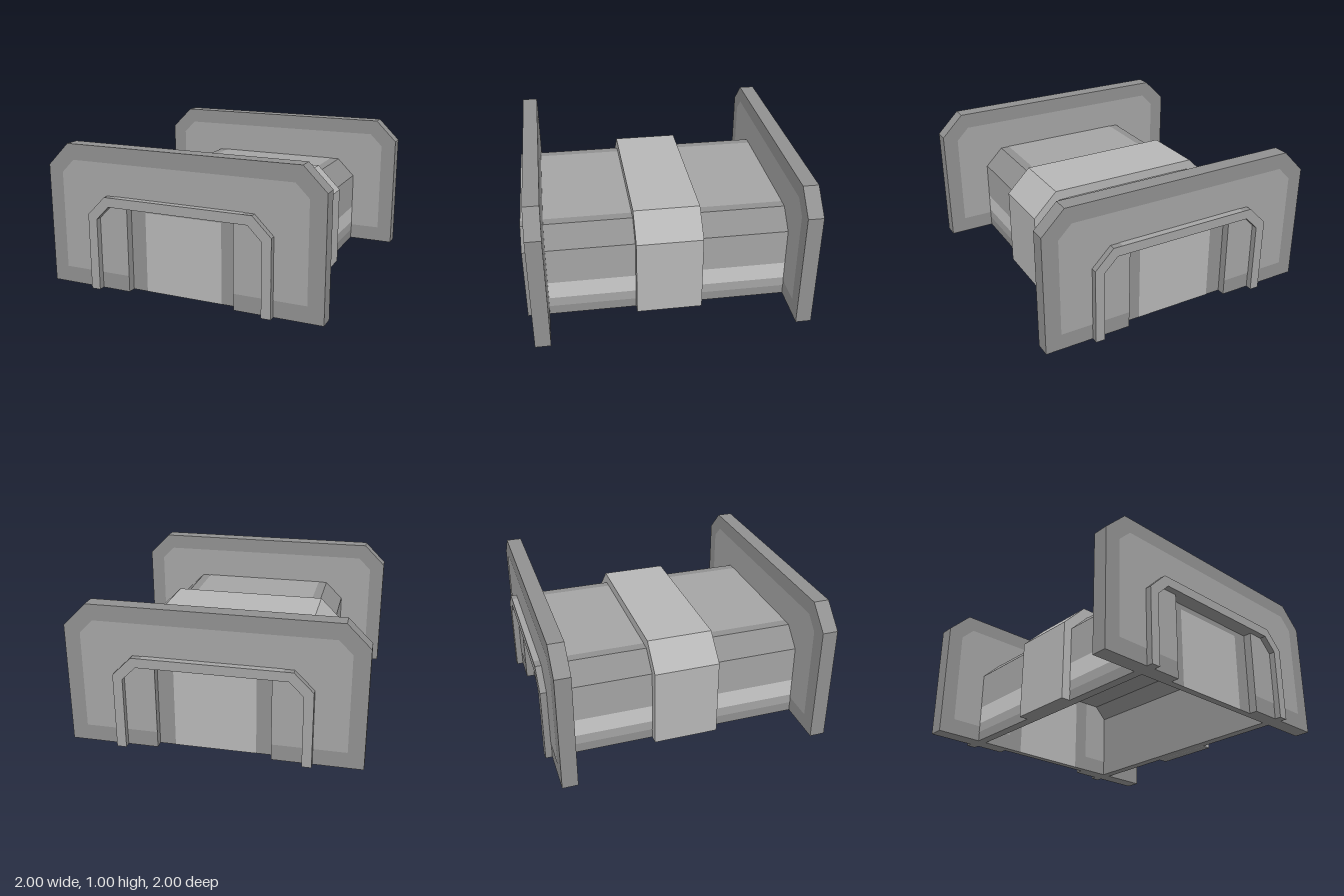
import * as THREE from 'three';

const paint = (color) => new THREE.MeshStandardMaterial({ color, flatShading: true });
const DARK = paint(0x909090);
const MID = paint(0xa4a4a4);
const LIGHT = paint(0xb6b6b6);
const BRIGHT = paint(0xcccccc);
const LIFT = 0.002; // painted panels sit just clear of the surface below

// Outline of a block with two chamfered top corners, standing on y = base
function outline(halfWidth, height, chamfer, base = 0) {
  return [
    [-halfWidth, base],
    [-halfWidth, height - chamfer],
    [-halfWidth + chamfer, height],
    [halfWidth - chamfer, height],
    [halfWidth, height - chamfer],
    [halfWidth, base],
  ];
}

// Closed shape from an outer outline, optionally cut by an inner one open at its base
function makeShape(outer, inner = []) {
  return new THREE.Shape(
    [...outer, ...[...inner].reverse()].map(([x, y]) => new THREE.Vector2(x, y)),
  );
}

// Solid extruded from z0 to z1
function slab(name, material, z0, z1, shape) {
  const geometry = new THREE.ExtrudeGeometry(shape, { depth: z1 - z0, bevelEnabled: false });
  geometry.translate(0, 0, z0);
  const mesh = new THREE.Mesh(geometry, material);
  mesh.name = name;
  return mesh;
}

// Flat painted panel facing +z
function panel(name, material, z, shape) {
  const mesh = new THREE.Mesh(new THREE.ShapeGeometry(shape), material);
  mesh.name = name;
  mesh.position.z = z;
  return mesh;
}

export function createModel() {
  const group = new THREE.Group();
  group.name = 'coveredPassage';

  const tunnelOuter = outline(0.665, 0.665, 0.13);
  const tunnelInner = outline(0.6, 0.6, 0.095);
  const tunnelShape = makeShape(tunnelOuter, tunnelInner);
  const plateOuter = outline(1, 1, 0.158);
  const plateShape = makeShape(plateOuter);
  const surroundShape = makeShape(plateOuter, outline(0.39, 0.6, 0));
  const platePanel = makeShape(outline(0.89, 0.89, 0.092, 0.115), outline(0.39, 0.6, 0, 0.115));
  const doorPanel = makeShape(outline(0.28, 0.56, 0));

  // Hollow tunnel shell, running out past both end plates as a raised arch trim
  group.add(slab('tunnelShell', DARK, -0.998, 0.998, tunnelShape));

  // Lighter strip along the roof
  const roof = new THREE.Mesh(new THREE.PlaneGeometry(0.94, 1.996), MID);
  roof.name = 'roofStrip';
  roof.rotation.x = -Math.PI / 2;
  roof.position.y = 0.665 + LIFT;
  group.add(roof);

  // Painted strips along both side walls, between the end plates
  const strips = [
    ['lowerWallStrip', MID, 0.07, 0.14],
    ['brightWallStrip', BRIGHT, 0.14, 0.27],
    ['upperWallStrip', MID, 0.27, 0.535],
  ];
  for (const side of [1, -1]) {
    for (const [name, material, y0, y1] of strips) {
      const strip = new THREE.Mesh(new THREE.PlaneGeometry(1.69, y1 - y0), material);
      strip.name = name;
      strip.rotation.y = (side * Math.PI) / 2;
      strip.position.set(side * (0.665 + LIFT), (y0 + y1) / 2, 0);
      group.add(strip);
    }
  }

  // Raised band around the middle of the tunnel
  const bandShape = makeShape(outline(0.73, 0.735, 0.17), tunnelOuter);
  group.add(slab('middleBand', LIGHT, -0.232, 0.232, bandShape));

  // Dark underside of the band's two feet
  for (const side of [1, -1]) {
    const foot = new THREE.Mesh(new THREE.PlaneGeometry(0.065, 0.464), DARK);
    foot.name = 'bandFoot';
    foot.rotation.x = Math.PI / 2;
    foot.position.set(side * 0.6975, -LIFT / 2, 0);
    group.add(foot);
  }

  // End plates: solid inner layer, outer layer cut away to leave a recessed door
  for (const side of [1, -1]) {
    const end = new THREE.Group();
    end.name = side > 0 ? 'frontEnd' : 'backEnd';
    end.add(slab('endPlate', DARK, 0.845, 0.895, plateShape));
    end.add(slab('doorSurround', DARK, 0.895, 0.953, surroundShape));
    end.add(panel('outerPanel', MID, 0.953 + LIFT, platePanel));
    end.add(panel('outerDoor', LIGHT, 0.895 + LIFT, doorPanel));
    end.add(panel('archTrimFace', MID, 0.998 + LIFT, tunnelShape));

    // Matching panels on the inward face
    const innerPanel = panel('innerPanel', MID, 0.845 - LIFT, platePanel);
    const innerDoor = panel('innerDoor', LIGHT, 0.845 - LIFT, doorPanel);
    innerPanel.rotation.y = innerDoor.rotation.y = Math.PI;
    end.add(innerPanel, innerDoor);

    if (side < 0) end.rotation.y = Math.PI;
    group.add(end);
  }

  return group;
}
